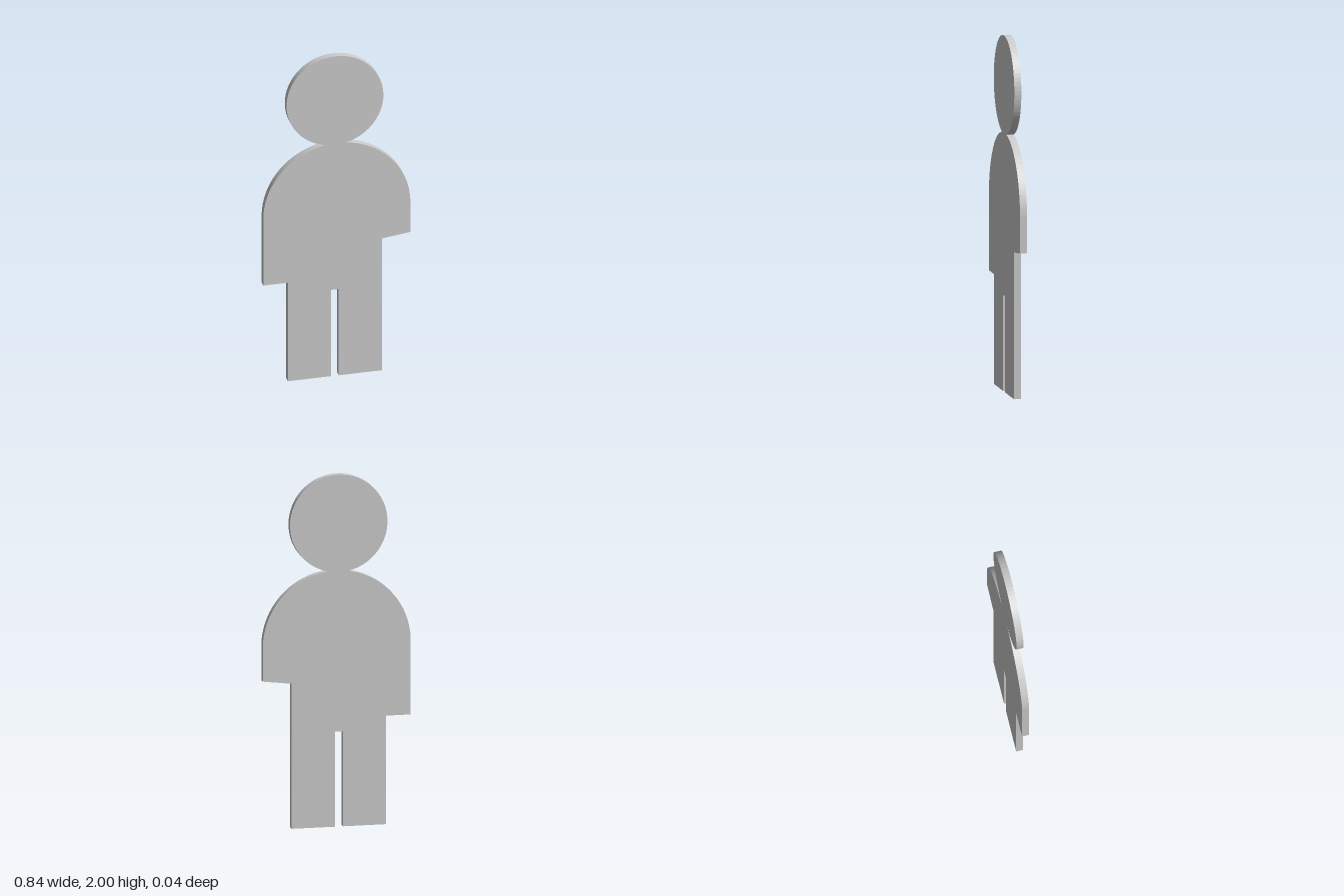
import * as THREE from 'three';

const DEPTH = 0.04;

// Outline of the whole cut-out, counter-clockwise from the foot on the -x side
function figureOutline() {
  const shape = new THREE.Shape();

  // legs with the narrow gap between them
  shape.moveTo(-0.28, 0);
  shape.lineTo(-0.035, 0);
  shape.lineTo(-0.035, 0.54);
  shape.lineTo(0.01, 0.54);
  shape.lineTo(0.01, 0);
  shape.lineTo(0.257, 0);

  // short sleeve on the +x side, with a slightly slanted hem
  shape.lineTo(0.257, 0.825);
  shape.lineTo(0.42, 0.845);

  // shoulder up to the neck, head, then the other shoulder down
  const shoulder = { x: 0, y: 1.036, r: 0.42 };
  const head = { x: -0.011, y: 1.723, r: 0.277 };
  const neck = 0.065; // half width of the neck
  const headAngle = Math.asin(neck / head.r);
  const rightNeck = Math.acos((head.x + neck) / shoulder.r);
  const leftNeck = Math.acos((head.x - neck) / shoulder.r);
  shape.absarc(shoulder.x, shoulder.y, shoulder.r, 0, rightNeck, false);
  shape.absarc(head.x, head.y, head.r, -Math.PI / 2 + headAngle, 1.5 * Math.PI - headAngle, false);
  shape.absarc(shoulder.x, shoulder.y, shoulder.r, leftNeck, Math.PI, false);

  // longer sleeve on the -x side
  shape.lineTo(-0.42, 0.617);
  shape.lineTo(-0.28, 0.617);
  shape.closePath();
  return shape;
}

export function createModel() {
  const group = new THREE.Group();
  group.name = 'cutOutFigure';

  const geometry = new THREE.ExtrudeGeometry(figureOutline(), {
    depth: DEPTH,
    bevelEnabled: false,
    curveSegments: 32,
  });
  geometry.translate(0, 0, -DEPTH / 2);

  const figure = new THREE.Mesh(geometry, new THREE.MeshStandardMaterial({ color: 0xcccccc }));
  figure.name = 'headBodyAndLegs';
  group.add(figure);
  return group;
}
